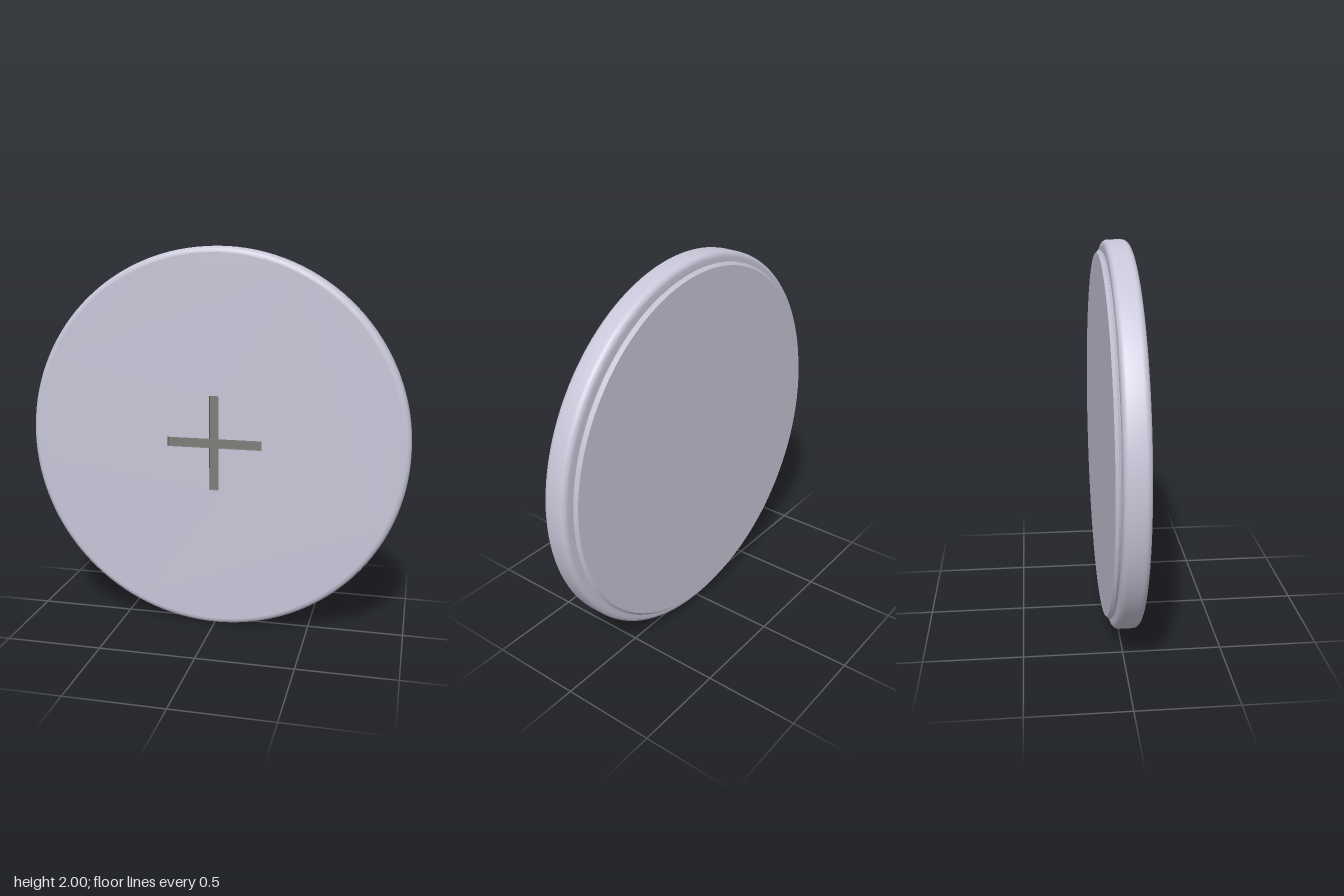
import * as THREE from 'three';
import { toCreasedNormals } from 'three/addons/utils/BufferGeometryUtils.js';

const R = 1, BACK = -0.078, FRONT = 0.078, SHOULDER = -0.05;
const FILLET = 0.03, SEGMENTS = 128;
const RECESS = 0.02;

// quarter-round profile points about a centre, from angle a to a + 90 degrees
function fillet(cx, cy, r, a) {
  return Array.from({ length: 7 }, (_, i) => {
    const t = a + (i / 6) * Math.PI / 2;
    return [cx + r * Math.cos(t), cy + r * Math.sin(t)];
  });
}

// plus-shaped outline: arm length l, half width w
function crossPoints(l, w) {
  const points = [];
  for (let i = 0; i < 4; i++) {
    for (const [x, y] of [[l, -w], [l, w], [w, w]]) {
      points.push(new THREE.Vector2(x, y).rotateAround(new THREE.Vector2(), i * Math.PI / 2));
    }
  }
  return points;
}

export function createModel() {
  const group = new THREE.Group();
  const bodyMaterial = new THREE.MeshStandardMaterial({ color: 0xc8c6d8 });
  const slotMaterial = new THREE.MeshStandardMaterial({ color: 0x7c7c78 });

  function add(name, geometry, material) {
    const mesh = new THREE.Mesh(geometry, material);
    mesh.name = name;
    mesh.position.y = R;
    group.add(mesh);
  }

  // rounded rim and stepped, chamfered back, turned about the disc axis
  const profile = [
    [0, BACK], [0.935, BACK], [0.95, -0.063], [0.94, SHOULDER],
    ...fillet(R - FILLET, SHOULDER + FILLET, FILLET, -Math.PI / 2),
    ...fillet(R - FILLET, FRONT - FILLET, FILLET, 0),
  ].map(([x, y]) => new THREE.Vector2(x, y));
  const body = new THREE.LatheGeometry(profile, SEGMENTS).rotateX(Math.PI / 2);
  add('discBody', toCreasedNormals(body, 0.5), bodyMaterial);

  // front face with a cross-shaped slot cut into it
  const faceShape = new THREE.Shape();
  faceShape.absarc(0, 0, R - FILLET, 0, Math.PI * 2);
  const cross = crossPoints(0.25, 0.025);
  faceShape.holes.push(new THREE.Path(cross));
  const face = new THREE.ExtrudeGeometry(faceShape, {
    depth: RECESS, bevelEnabled: false, curveSegments: SEGMENTS,
  }).translate(0, 0, FRONT - RECESS);
  add('frontFace', face, [bodyMaterial, slotMaterial]);

  // floor of the slot
  const floor = new THREE.ShapeGeometry(new THREE.Shape(cross)).translate(0, 0, FRONT - RECESS);
  add('slotFloor', floor, slotMaterial);

  return group;
}
